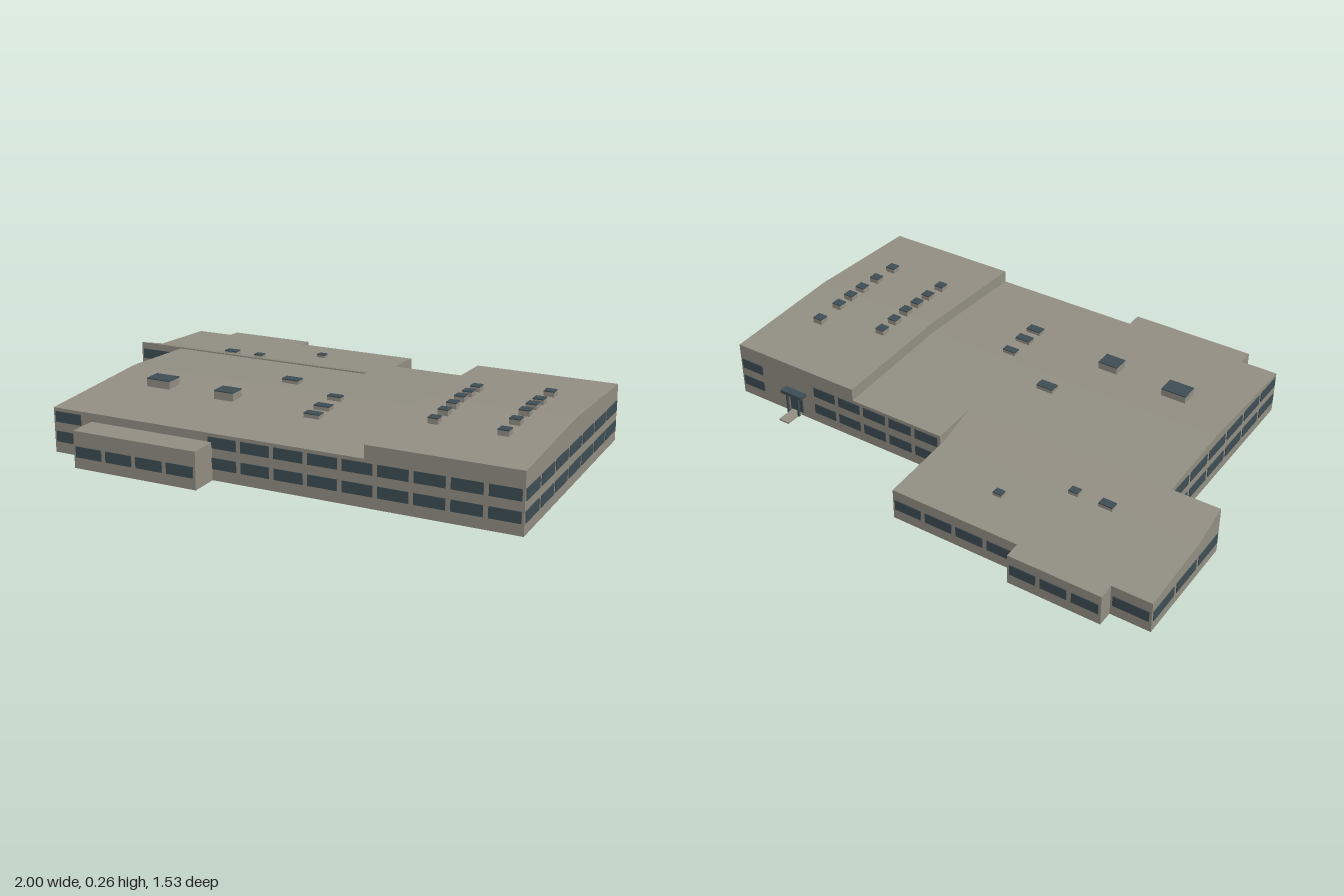
import * as THREE from 'three';

const ANGLE = 0.037; // the whole building stands slightly skewed

export function createModel() {
  const model = new THREE.Group();
  const site = new THREE.Group();
  site.name = 'building';
  site.rotation.y = -ANGLE;
  model.add(site);

  const wall = new THREE.MeshStandardMaterial({ color: 0x949084 });
  wall.name = 'warm grey cladding';
  const glass = new THREE.MeshStandardMaterial({ color: 0x3f4f55 });
  glass.name = 'dark glass';

  function add(name, geometry, material, x = 0, y = 0, z = 0, parent = site) {
    const mesh = new THREE.Mesh(geometry, material);
    mesh.name = name;
    mesh.position.set(x, y, z);
    parent.add(mesh);
    return mesh;
  }
  const box = (name, w, h, d, material, x, y, z, parent) =>
    add(name, new THREE.BoxGeometry(w, h, d), material, x, y, z, parent);

  // Height of a roof given as [z, y] points, back to front
  function heightAt(roof, z) {
    for (let i = 1; i < roof.length; i++) {
      const [z0, y0] = roof[i - 1], [z1, y1] = roof[i];
      if (z <= z1) return y0 + (y1 - y0) * (z - z0) / (z1 - z0);
    }
    return roof[roof.length - 1][1];
  }

  // Block from x0 to x1 whose side outline follows the roof between z0 and z1
  function block(name, x0, x1, z0, z1, roof) {
    const top = [[z0, heightAt(roof, z0)],
      ...roof.filter(([z]) => z > z0 + 0.001 && z < z1 - 0.001),
      [z1, heightAt(roof, z1)]];
    const outline = [[z0, 0], ...top, [z1, 0]];
    const shape = new THREE.Shape(outline.map(([z, y]) => new THREE.Vector2(-z, y)));
    const geometry = new THREE.ExtrudeGeometry(shape, { depth: x1 - x0, bevelEnabled: false });
    geometry.rotateY(Math.PI / 2);
    add(name, geometry, wall, x0, 0, 0);
  }

  const lowRoof = [[-0.381, 0.172], [0.137, 0.198], [0.657, 0.172]];
  const tallRoof = [[-0.381, 0.221], [0.137, 0.243], [0.657, 0.221]];
  const wingRoof = [[-0.734, 0.12], [-0.36, 0.142], [-0.204, 0.186]];

  block('lowHallWest', -0.82, 0.026, -0.205, 0.657, lowRoof);
  block('lowHallEast', 0.026, 0.428, -0.381, 0.657, lowRoof);
  block('tallHall', 0.428, 0.984, -0.381, 0.657, tallRoof);
  block('backWing', -1.01, 0.022, -0.674, -0.204, wingRoof);
  block('backWingBay', -0.857, -0.496, -0.734, -0.67, wingRoof);
  block('frontBay', -0.655, -0.152, 0.65, 0.768, [[0.65, 0.14], [0.768, 0.14]]);

  // Window bands along a wall, with the outside to the right of its direction
  const LOW = 0.063, HIGH = 0.139;
  function windows(name, [x0, z0], [x1, z1], count, rows, skip = []) {
    const band = new THREE.Group();
    band.name = name;
    site.add(band);
    const length = Math.hypot(x1 - x0, z1 - z0);
    const pitch = length / count;
    band.position.set(x0, 0, z0);
    band.rotation.y = Math.atan2(-(z1 - z0), x1 - x0);
    for (let i = 0; i < count; i++) {
      if (skip.includes(i)) continue;
      for (const y of rows) {
        box('window', pitch - 0.018, 0.041, 0.006, glass, (i + 0.5) * pitch, y, 0, band);
      }
    }
  }
  windows('frontWindows', [-0.82, 0.657], [0.984, 0.657], 14, [LOW, HIGH], [1, 2, 3, 4]);
  windows('frontBayWindows', [-0.655, 0.768], [-0.152, 0.768], 4, [LOW]);
  windows('eastWindows', [0.984, 0.657], [0.984, -0.381], 7, [LOW, HIGH]);
  windows('backWindows', [0.984, -0.381], [0.03, -0.381], 8, [LOW, HIGH], [1, 2]);
  windows('westWindows', [-0.82, -0.205], [-0.82, 0.657], 6, [LOW, HIGH]);
  windows('wingFrontWindows', [-1.01, -0.204], [-0.83, -0.204], 1, [LOW, HIGH]);
  windows('wingEastWindows', [0.022, -0.381], [0.022, -0.674], 2, [LOW]);
  windows('wingBackWindows', [0.022, -0.674], [-0.496, -0.674], 4, [LOW]);
  windows('wingBayWindows', [-0.496, -0.734], [-0.857, -0.734], 3, [LOW]);
  windows('wingCornerWindow', [-0.857, -0.674], [-1.01, -0.674], 1, [LOW]);
  windows('wingWestWindows', [-1.01, -0.674], [-1.01, -0.204], 3, [LOW]);

  // Skylights: [x, z, width, depth] in plan, set on the given roof
  const c = Math.cos(ANGLE), s = Math.sin(ANGLE);
  function skylights(roof, rise, list) {
    for (const [px, pz, w, d] of list) {
      const x = px * c + pz * s, z = pz * c - px * s;
      const y = heightAt(roof, z);
      box('skylightCurb', w, rise + 0.01, d, wall, x, y + rise / 2 - 0.005, z);
      box('skylightPane', w, 0.004, d, glass, x, y + rise + 0.002, z);
    }
  }
  skylights(lowRoof, 0.028, [[-0.59, 0.275, 0.1, 0.07], [-0.295, 0.31, 0.08, 0.065]]);
  skylights(lowRoof, 0.013, [[-0.155, 0.055, 0.07, 0.04], [0.085, 0.19, 0.055, 0.03],
    [0.085, 0.295, 0.062, 0.036], [0.085, 0.38, 0.062, 0.036]]);
  skylights(tallRoof, 0.018, [0, 0.08, 0.155, 0.23, 0.305, 0.395]
    .map((z) => [0.56 - z * 0.037, z, 0.038, 0.038]));
  skylights(tallRoof, 0.018, [-0.06, 0.06, 0.135, 0.21, 0.305, 0.415]
    .map((z) => [0.816 - z * 0.037, z, 0.04, 0.038]));
  skylights(wingRoof, 0.01, [[-0.29, -0.51, 0.035, 0.028], [-0.645, -0.38, 0.055, 0.033],
    [-0.515, -0.375, 0.037, 0.03]]);

  // Back entrance: door, canopy on two posts and a landing
  const door = 0.71;
  box('backDoor', 0.06, 0.08, 0.006, glass, door, 0.055, -0.382);
  box('entranceCanopy', 0.1, 0.014, 0.034, glass, door, 0.105, -0.397);
  for (const side of [-1, 1]) {
    box('canopyPost', 0.008, 0.09, 0.008, glass, door + side * 0.026, 0.057, -0.405);
  }
  box('entranceLanding', 0.046, 0.006, 0.088, wall, door, 0.013, -0.422);

  return model;
}
